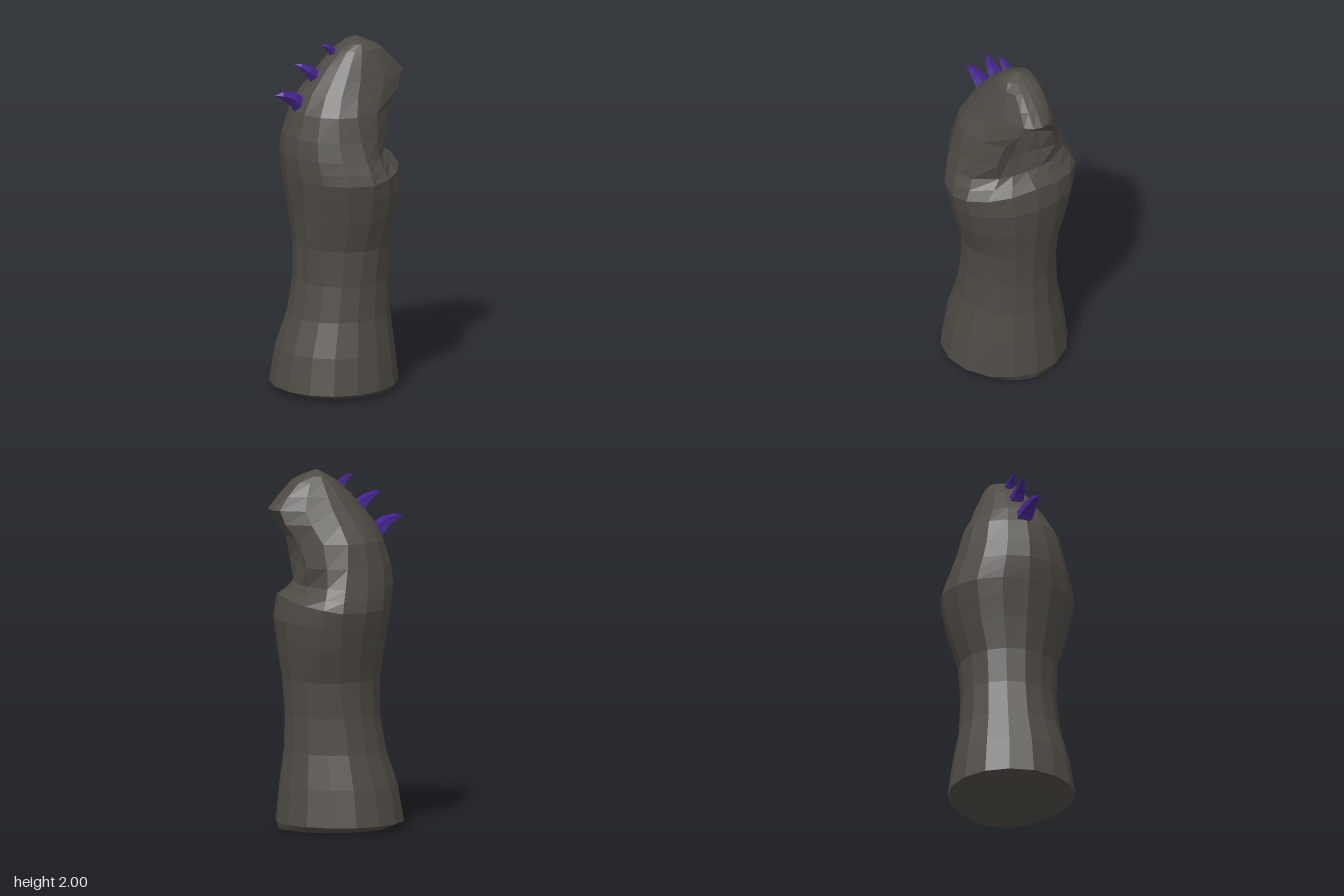
import * as THREE from 'three';

const skin = new THREE.MeshStandardMaterial({ color: 0x4e4a44, flatShading: true });
skin.name = 'dark skin';
const horn = new THREE.MeshStandardMaterial({ color: 0x43238a, flatShading: true });
horn.name = 'purple horn';

// Joins rings of points (counter-clockwise about the rising axis) and closes both ends.
function loft(rings, start, end) {
  const pos = [];
  const tri = (...pts) => pts.forEach((p) => pos.push(...p));
  const n = rings[0].length;
  const last = rings[rings.length - 1];
  for (let j = 0; j < n; j++) {
    const k = (j + 1) % n;
    for (let i = 0; i < rings.length - 1; i++) {
      const a = rings[i][j], b = rings[i][k], c = rings[i + 1][k], d = rings[i + 1][j];
      tri(a, b, c);
      tri(a, c, d);
    }
    tri(start, rings[0][k], rings[0][j]);
    tri(end, last[j], last[k]);
  }
  const g = new THREE.BufferGeometry();
  g.setAttribute('position', new THREE.Float32BufferAttribute(pos, 3));
  g.computeVertexNormals();
  return g;
}

// One body section. The edge (xe, ze) lies on an ellipse unless given;
// a front x behind the edge makes the section hollow, forming the mouth.
function section({ y, back, mid, w, front, edge, lift = 0 }) {
  const [xe, ze] = edge ?? [mid + 0.707 * (front - mid), 0.707 * w];
  const half = [];
  for (let k = 0; k <= 4; k++) {
    const a = (k * Math.PI) / 8;
    half.push([mid + (back - mid) * Math.cos(a), y, w * Math.sin(a)]);
  }
  const up = (k) => y + (lift * (k - 4)) / 4;
  half.push([mid + 0.54 * (xe - mid), up(5), ze + 0.74 * (w - ze)]);
  half.push([xe, up(6), ze]);
  half.push([xe + 0.74 * (front - xe), up(7), 0.54 * ze]);
  half.push([front, up(8), 0]);
  const mirrored = half.slice(1, 8).reverse().map(([x, h, z]) => [x, h, -z]);
  return [...half, ...mirrored];
}

function createBody() {
  const sections = [
    // foot and trunk
    { y: 0.01, back: -0.3, mid: 0, w: 0.28, front: 0.325 },
    { y: 0.045, back: -0.38, mid: -0.03, w: 0.352, front: 0.335 },
    { y: 0.25, back: -0.345, mid: -0.02, w: 0.322, front: 0.315 },
    { y: 0.44, back: -0.28, mid: 0, w: 0.28, front: 0.29 },
    { y: 0.64, back: -0.245, mid: 0.02, w: 0.265, front: 0.285 },
    { y: 0.84, back: -0.245, mid: 0.04, w: 0.272, front: 0.3 },
    { y: 1.02, back: -0.268, mid: 0.06, w: 0.328, front: 0.325 },
    // lower lip collar
    { y: 1.15, back: -0.29, mid: 0.06, w: 0.36, front: 0.343, lift: 0.03 },
    { y: 1.24, back: -0.305, mid: 0.055, w: 0.378, front: 0.32, lift: 0.07 },
    { y: 1.3, back: -0.313, mid: 0.045, w: 0.362, front: 0.27, edge: [0.22, 0.21], lift: 0.04 },
    // shallow mouth under the hood
    { y: 1.37, back: -0.32, mid: 0.03, w: 0.338, front: 0.222, edge: [0.2, 0.165] },
    { y: 1.475, back: -0.308, mid: 0.01, w: 0.305, front: 0.19, edge: [0.212, 0.187] },
    { y: 1.61, back: -0.265, mid: 0, w: 0.272, front: 0.18, edge: [0.245, 0.15] },
    { y: 1.71, back: -0.21, mid: 0.03, w: 0.215, front: 0.25, edge: [0.315, 0.115] },
    // brow and crown
    { y: 1.785, back: -0.15, mid: 0.06, w: 0.178, front: 0.385, edge: [0.34, 0.09] },
    { y: 1.86, back: -0.085, mid: 0.08, w: 0.145, front: 0.32, edge: [0.295, 0.085] },
    { y: 1.935, back: -0.005, mid: 0.1, w: 0.108, front: 0.245, edge: [0.23, 0.08] },
    { y: 1.968, back: 0.05, mid: 0.105, w: 0.082, front: 0.185, edge: [0.17, 0.06] },
  ];
  const body = new THREE.Mesh(loft(sections.map(section), [0, 0.005, 0], [0.11, 2, 0]), skin);
  body.name = 'body';
  return body;
}

// Curved five-sided horn; root, bend and tip are [x, y, z].
function createHorn(root, bend, tip, radius) {
  const curve = new THREE.QuadraticBezierCurve3(
    ...[root, bend, tip].map((p) => new THREE.Vector3(...p)));
  const rings = [0, 0.4, 0.75].map((t) => {
    const c = curve.getPoint(t);
    const dir = curve.getTangent(t);
    const v = new THREE.Vector3().crossVectors(dir, new THREE.Vector3(0, 0, 1)).normalize();
    const u = new THREE.Vector3().crossVectors(v, dir);
    const r = radius * (1 - 0.8 * t);
    return Array.from({ length: 5 }, (_, i) => {
      const a = (i * Math.PI * 2) / 5;
      return c.clone().addScaledVector(u, r * Math.cos(a)).addScaledVector(v, r * Math.sin(a)).toArray();
    });
  });
  return new THREE.Mesh(loft(rings, root, tip), horn);
}

export function createModel() {
  const model = new THREE.Group();
  model.name = 'hooded worm';
  model.add(createBody());

  // row of horns down the back
  const horns = [
    ['lowerHorn', [-0.22, 1.635, -0.005], [-0.295, 1.72, 0.015], [-0.39, 1.717, 0.027], 0.055],
    ['middleHorn', [-0.128, 1.785, -0.012], [-0.18, 1.84, 0.0], [-0.25, 1.87, -0.022], 0.045],
    ['upperHorn', [-0.015, 1.9, -0.015], [-0.045, 1.95, -0.01], [-0.095, 1.965, -0.004], 0.03],
  ];
  for (const [name, root, bend, tip, radius] of horns) {
    const mesh = createHorn(root, bend, tip, radius);
    mesh.name = name;
    model.add(mesh);
  }
  return model;
}
